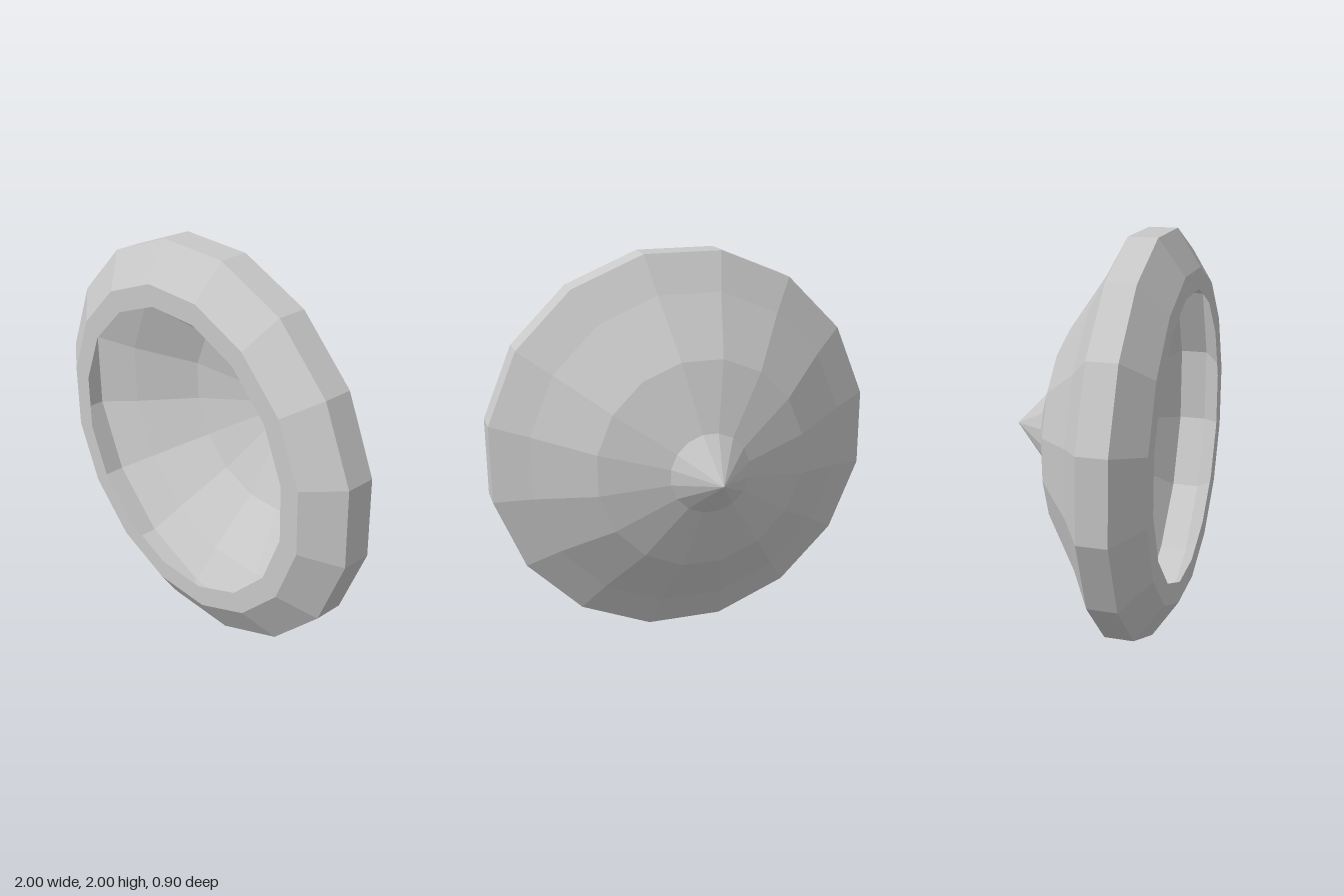
import * as THREE from 'three';

const SIDES = 16;
// Flat-to-flat radii are converted to corner radii.
const CORNER = 1 / Math.cos(Math.PI / SIDES);

const grey = new THREE.MeshStandardMaterial({
  name: 'grey', color: 0xc8c8c8, flatShading: true, side: THREE.DoubleSide,
});

// Spins a [radius, z] profile around the z axis.
function spin(name, profile) {
  const points = profile.map(([r, z]) => new THREE.Vector2(r * CORNER, z));
  const geometry = new THREE.LatheGeometry(points, SIDES, Math.PI / SIDES, Math.PI * 2);
  geometry.rotateX(Math.PI / 2);
  const mesh = new THREE.Mesh(geometry, grey);
  mesh.name = name;
  mesh.position.y = 1;
  return mesh;
}

export function createModel() {
  const group = new THREE.Group();
  group.name = 'dish';

  // Pointed tip at the back
  group.add(spin('tip', [[0, -0.45], [0.2, -0.255]]));

  // Thin shell, open to the front
  group.add(spin('shell', [[0.2, -0.255], [0.53, -0.13], [0.815, 0.075], [1, 0.183]]));

  // Outer band, front bevel and flat lip, hollow behind the lip
  group.add(spin('rim', [[1, 0.183], [1, 0.327], [0.82, 0.45], [0.715, 0.45]]));

  return group;
}
